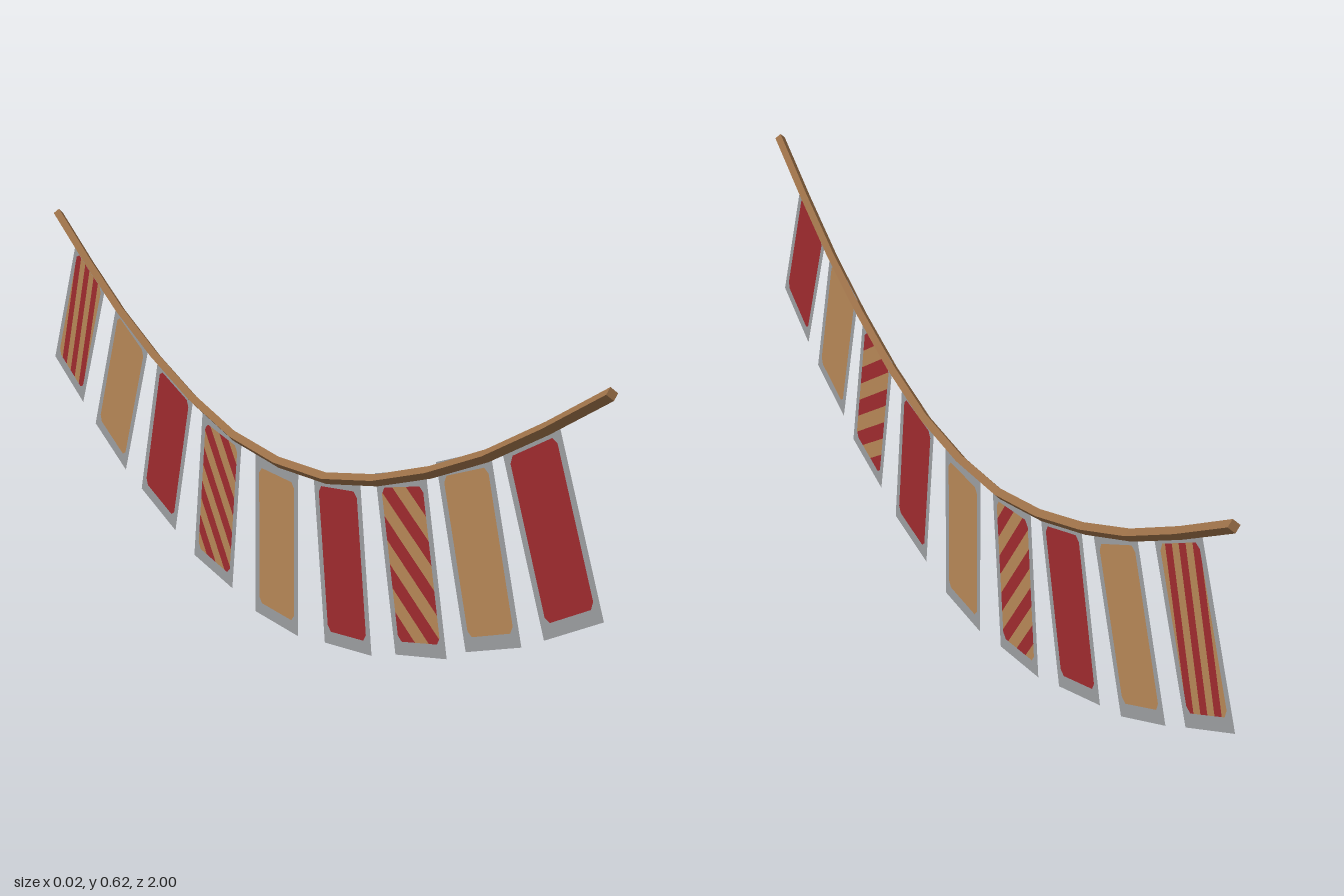
import * as THREE from 'three';

const mat = (name, color, extra = {}) => Object.assign(new THREE.MeshStandardMaterial({ color, ...extra }), { name });

const W = 0.162, H = 0.296;      // flag size
const PW = 0.132, PH = 0.25;     // painted panel size
const P0 = 0.022, CUT = 0.01;    // panel bottom margin and cut corner

// Corner-cut outline of the painted panel, in flag space (origin at bottom centre)
function panelOutline() {
  const x = PW / 2, y0 = P0, y1 = P0 + PH, c = CUT;
  return [[-x + c, y0], [x - c, y0], [x, y0 + c], [x, y1 - c], [x - c, y1], [-x + c, y1], [-x, y1 - c], [-x, y0 + c]]
    .map(([a, b]) => new THREE.Vector2(a, b));
}

// Keep the part of a convex polygon where dot(p, n) >= d
function clip(poly, n, d) {
  const out = [];
  poly.forEach((a, i) => {
    const b = poly[(i + 1) % poly.length];
    const da = a.dot(n) - d, db = b.dot(n) - d;
    if (da >= 0) out.push(a);
    if (da * db < 0) out.push(a.clone().lerp(b, da / (da - db)));
  });
  return out;
}

// Slice the panel into alternating bands running at the given angle
function stripeBands(angle, period) {
  const n = new THREE.Vector2(-Math.sin(angle), Math.cos(angle)), back = n.clone().negate();
  const mid = new THREE.Vector2(0, P0 + PH / 2).dot(n);
  const bands = [[], []];
  for (let k = -12; k < 12; k++) {
    const lo = mid + (k - 0.5) * period / 2, hi = lo + period / 2;
    const poly = clip(clip(panelOutline(), n, lo), back, -hi);
    if (poly.length > 2) bands[Math.abs(k % 2)].push(new THREE.Shape(poly));
  }
  return bands;
}

export function createModel() {
  const model = new THREE.Group();
  model.name = 'flagGarland';
  const ropeMat = mat('rope brown', 0x9a6f47, { flatShading: true });
  const grey = mat('border grey', 0x9a9c9f, { side: THREE.DoubleSide });
  const red = mat('cloth red', 0x9e2a2e, { side: THREE.DoubleSide });
  const tan = mat('cloth tan', 0xb58656, { side: THREE.DoubleSide });

  const add = (parent, name, geometry, material) => {
    const mesh = new THREE.Mesh(geometry, material);
    mesh.name = name;
    parent.add(mesh);
    return mesh;
  };

  // Sagging four-sided rope with closed ends
  const half = [[0.17, 0.307], [0.34, 0.342], [0.51, 0.394], [0.71, 0.473], [0.98, 0.61]];
  const sag = [...half.map(([u, y]) => [-u, y]).reverse(), [0, 0.297], ...half];
  const curve = new THREE.CatmullRomCurve3(sag.map(([u, y]) => new THREE.Vector3(0, y, u + 0.018)));
  add(model, 'rope', new THREE.TubeGeometry(curve, 12, 0.01, 4), ropeMat);
  for (const t of [0, 1]) {
    const cap = add(model, 'ropeEnd', new THREE.CircleGeometry(0.01, 4), ropeMat);
    const p = curve.getPointAt(t);
    cap.position.copy(p);
    cap.lookAt(p.clone().addScaledVector(curve.getTangentAt(t), t ? 1 : -1));
  }

  // Flag border with an opening for the painted panel
  const frame = new THREE.Shape([[-W / 2, 0], [W / 2, 0], [W / 2, H], [-W / 2, H]].map(([x, y]) => new THREE.Vector2(x, y)));
  frame.holes.push(new THREE.Path(panelOutline().reverse()));
  const frameGeo = new THREE.ShapeGeometry(frame);
  const panelGeo = new THREE.ShapeGeometry(new THREE.Shape(panelOutline()));

  // Flags: bottom centre z, y, tilt in degrees, and stripe angle and period where striped
  const flags = [
    [0.924, 0.249, -25.5], [0.716, 0.16, -19], [0.506, 0.086, -14, 42, 0.058],
    [0.27, 0.029, -8.5], [0.011, 0, 0], [-0.244, 0.029, 8, 42, 0.05],
    [-0.485, 0.091, 17], [-0.712, 0.168, 23.5], [-0.922, 0.267, 25.6, 85, 0.046],
  ];
  flags.forEach(([z, y, tilt, angle, period], i) => {
    const flag = new THREE.Group();
    flag.name = 'flag' + (i + 1);
    flag.position.set(0, y, z);
    flag.rotation.set(0, Math.PI / 2, THREE.MathUtils.degToRad(tilt));
    add(flag, 'flagBorder', frameGeo, grey);
    if (i % 3 === 2) {
      const [a, b] = stripeBands(THREE.MathUtils.degToRad(angle), period);
      add(flag, 'redStripes', new THREE.ShapeGeometry(a), red);
      add(flag, 'tanStripes', new THREE.ShapeGeometry(b), tan);
    } else {
      add(flag, 'flagPanel', panelGeo, i % 3 ? tan : red);
    }
    model.add(flag);
  });
  return model;
}
